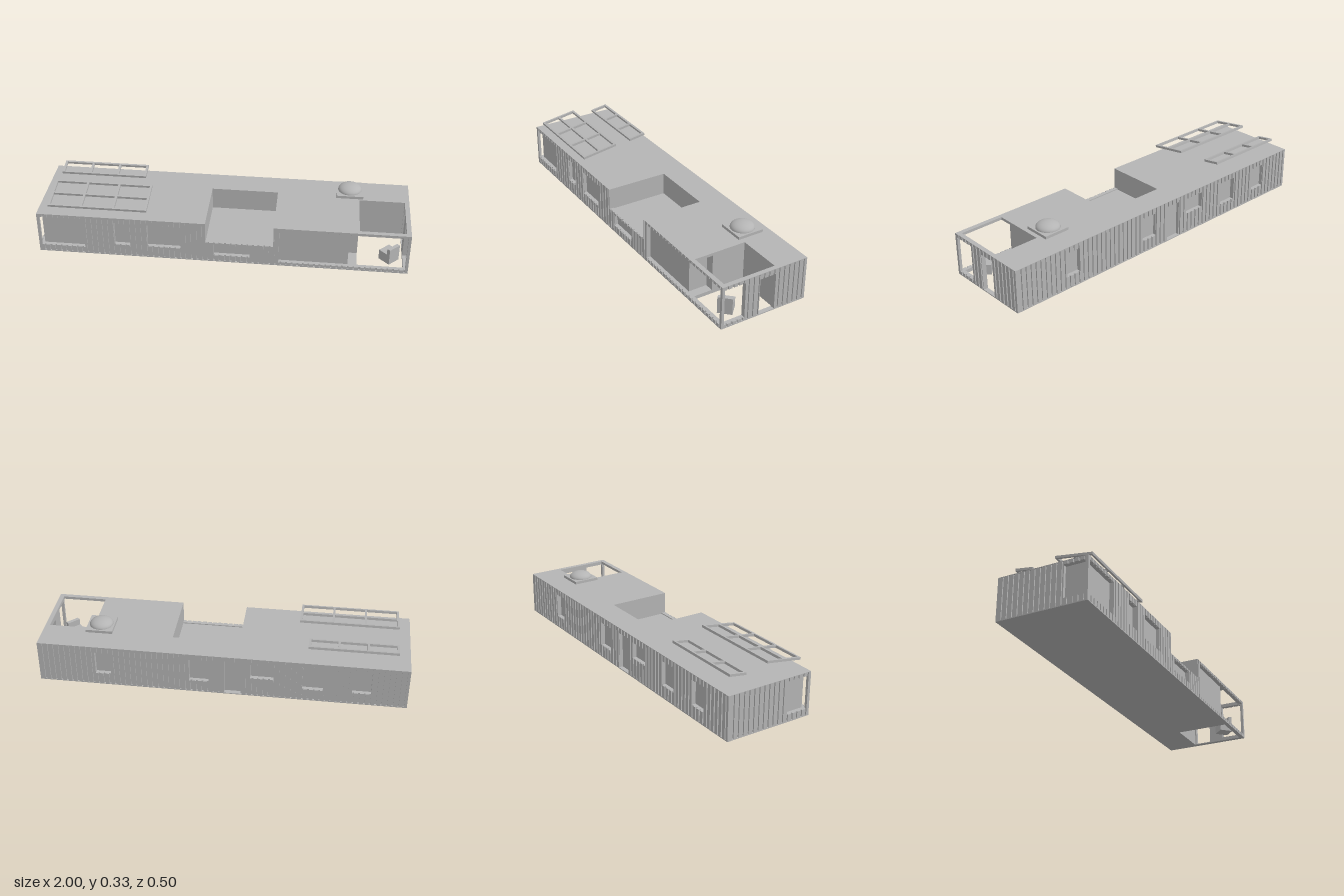
import * as THREE from 'three';
import { mergeGeometries } from 'three/addons/utils/BufferGeometryUtils.js';

const H = 0.24;          // building height
const RECESS = 0.025;    // cladding thickness, also the window depth
const POST = 0.015;      // thin corner posts
const GROOVE = 0.007;

// box from min / max limits
function block(x0, x1, y0, y1, z0, z1) {
  return new THREE.BoxGeometry(x1 - x0, y1 - y0, z1 - z0)
    .translate((x0 + x1) / 2, (y0 + y1) / 2, (z0 + z1) / 2);
}

// grooved wall made column by column; openings are [u0, u1, y0, y1], outside faces +z
function wallGeometry(half, out, openings) {
  const grooves = [];
  for (let c = -half + 0.032; c < half - 0.01; c += 0.03) grooves.push([c - 0.0045, c + 0.0045]);
  const cuts = [-half, -half + POST, half - POST, half, ...grooves.flat()];
  openings.forEach(o => cuts.push(o[0], o[1]));
  cuts.sort((a, b) => a - b);
  const parts = [];
  for (let i = 0; i + 1 < cuts.length; i++) {
    const a = cuts[i], b = cuts[i + 1], m = (a + b) / 2;
    if (b - a < 1e-5) continue;
    const grooved = grooves.some(g => m > g[0] && m < g[1]);
    const back = out - (Math.abs(m) > half - POST ? POST : RECESS);
    const holes = openings.filter(o => m > o[0] && m < o[1]).sort((p, q) => p[2] - q[2]);
    let y = 0;
    for (const [, , h0, h1] of [...holes, [0, 0, H, H]]) {
      if (h0 - y > 1e-5) {
        parts.push(block(a, b, y, h0, back, grooved ? out - GROOVE : out));
        if (grooved && y === 0) parts.push(block(a, b, 0, 0.005, out - GROOVE, out));
        if (grooved && h0 === H) parts.push(block(a, b, H - 0.002, H, out - GROOVE, out));
      }
      y = h1;
    }
  }
  return mergeGeometries(parts);
}

// open grid frame, centred on the origin
function frameGeometry(w, d, cols, rows) {
  const t = 0.012, h = 0.0065, parts = [];
  for (let i = 0; i <= cols; i++) {
    const x = -w / 2 + t / 2 + (w - t) * i / cols;
    parts.push(block(x - t / 2, x + t / 2, -h, h, -d / 2, d / 2));
  }
  for (let j = 0; j <= rows; j++) {
    const z = -d / 2 + t / 2 + (d - t) * j / rows;
    parts.push(block(-w / 2, w / 2, -h, h, z - t / 2, z + t / 2));
  }
  return mergeGeometries(parts);
}

export function createModel() {
  const model = new THREE.Group();
  const grey = new THREE.MeshStandardMaterial({ color: 0xb4b4b4 });
  grey.name = 'plain grey';
  const add = (name, geometry, parent = model) => {
    const mesh = new THREE.Mesh(geometry, grey);
    mesh.name = name;
    parent.add(mesh);
    return mesh;
  };

  // solid core, leaving out the sunken deck and the corner patio
  add('core', mergeGeometries([
    block(-0.975, -0.085, 0, H, -0.225, 0.225),
    block(-0.085, 0.28, 0, 0.115, -0.225, 0.225),
    block(-0.085, 0.28, 0.115, H, -0.225, -0.1),
    block(0.28, 0.68, 0, H, -0.225, 0.225),
    block(0.68, 0.73, 0, H, -0.225, 0.12),
    block(0.68, 0.73, 0, 0.02, 0.12, 0.225),
    block(0.68, 0.73, 0.225, H, 0.12, 0.225),
    block(0.73, 0.975, 0, H, -0.225, -0.07),
  ]));

  // grooved cladding on all four sides
  add('frontWall', wallGeometry(1, 0.25, [
    [-0.985, -0.745, 0.04, 0.22],
    [-0.58, -0.495, 0.07, 0.205],
    [-0.4, -0.22, 0.07, 0.205],
    [-0.085, 0.28, 0.12, H],
    [-0.04, 0.155, 0.04, 0.107],
    [0.31, 0.985, 0.02, 0.225],
  ]));
  add('backWall', wallGeometry(1, 0.25, [
    [-0.685, -0.6, 0.07, 0.205],
    [-0.17, -0.065, 0.07, 0.205],
    [0.02, 0.11, 0.005, 0.21],
    [0.16, 0.285, 0.115, 0.205],
    [0.44, 0.55, 0.07, 0.205],
    [0.705, 0.805, 0.07, 0.205],
  ])).rotation.y = Math.PI;
  add('patioEndWall', wallGeometry(0.25, 1, [
    [-0.235, -0.115, 0.02, 0.22],
    [-0.03, 0.063, 0.005, 0.21],
  ])).rotation.y = Math.PI / 2;
  add('farEndWall', wallGeometry(0.25, 1, [
    [0.115, 0.235, 0.04, 0.22],
  ])).rotation.y = -Math.PI / 2;

  // tilted panel frames above the roof
  const large = add('largeRoofFrame', frameGeometry(0.535, 0.21, 3, 2));
  large.position.set(-0.6675, 0.3025, 0.131);
  const small = add('smallRoofFrame', frameGeometry(0.475, 0.1, 3, 1));
  small.position.set(-0.6975, 0.298, -0.148);
  large.rotation.x = small.rotation.x = 0.152;

  // skylight
  const skylight = new THREE.Group();
  skylight.name = 'skylight';
  skylight.position.set(0.673, 0.278, -0.094);
  model.add(skylight);
  add('skylightBase', block(-0.073, 0.073, 0, 0.015, -0.073, 0.073), skylight);
  const dome = add('skylightDome',
    new THREE.SphereGeometry(0.064, 32, 12, 0, Math.PI * 2, 0, Math.PI / 2), skylight);
  dome.scale.y = 0.52;
  dome.position.y = 0.015;

  // patio chair, turned to face the inner corner
  const chair = new THREE.Group();
  chair.name = 'patioChair';
  chair.position.set(0.9, 0.02, 0.153);
  chair.rotation.y = Math.PI / 4;
  model.add(chair);
  add('chairSeat', block(-0.038, 0.038, 0, 0.056, -0.038, 0.018), chair);
  add('chairBack', block(-0.038, 0.038, 0, 0.092, 0.018, 0.038), chair);

  return model;
}
